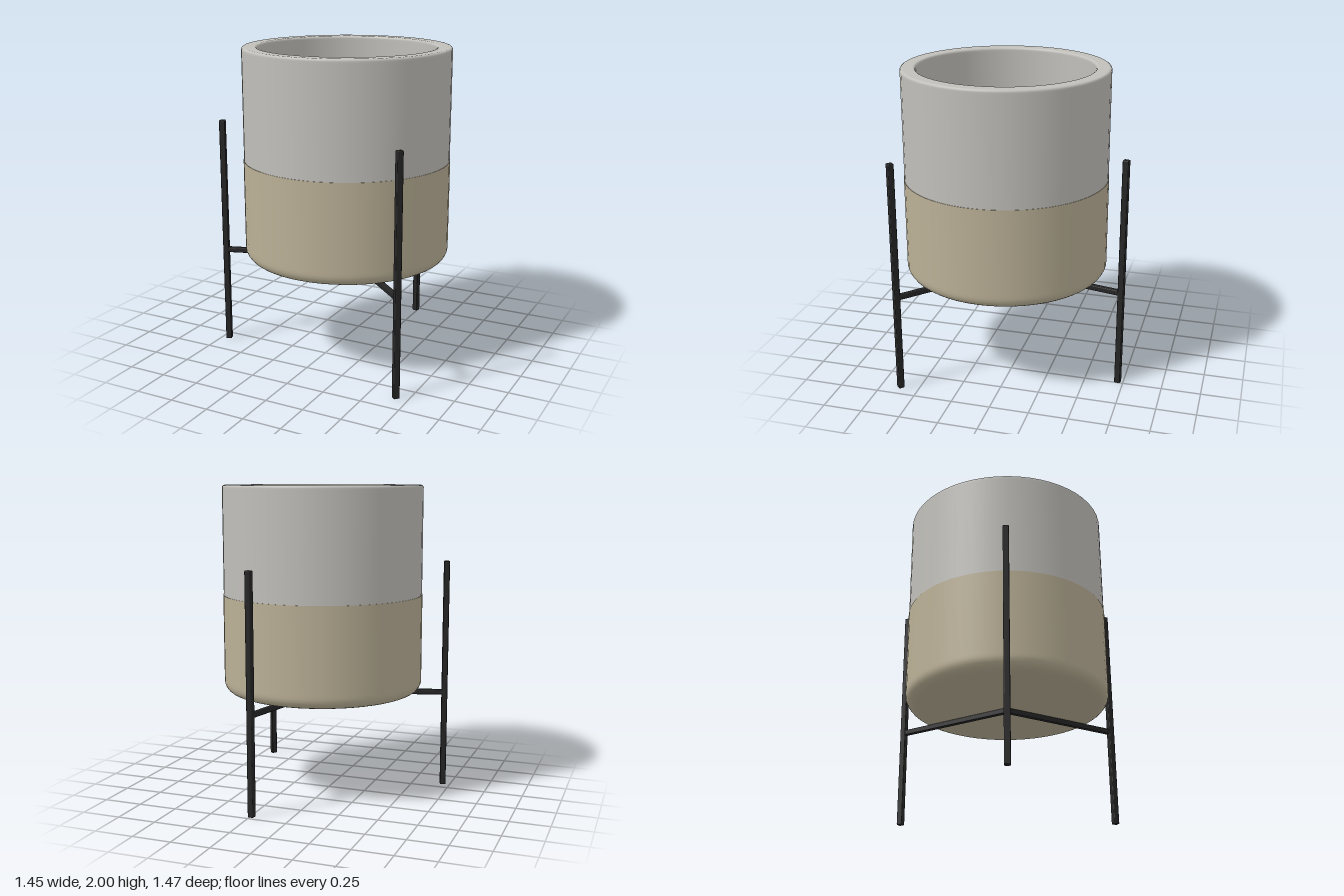
import * as THREE from 'three';
import { RoundedBoxGeometry } from 'three/addons/geometries/RoundedBoxGeometry.js';

const SEGMENTS = 56;
const CENTER = [0.07, 0.077]; // shared axis of pot and stand (x, z)

const material = (name, color) => {
  const m = new THREE.MeshStandardMaterial({ color });
  m.name = name;
  return m;
};

// Profile points of a quarter-turn rounded corner
function corner(cx, cy, r, from, to, steps = 6) {
  return Array.from({ length: steps + 1 }, (_, i) => {
    const a = THREE.MathUtils.degToRad(from + ((to - from) * i) / steps);
    return [cx + r * Math.cos(a), cy + r * Math.sin(a)];
  });
}

function lathe(name, points, mat) {
  const profile = points.map(([x, y]) => new THREE.Vector2(Math.max(x, 0), y));
  const mesh = new THREE.Mesh(new THREE.LatheGeometry(profile, SEGMENTS), mat);
  mesh.name = name;
  return mesh;
}

function bar(name, w, h, d, mat) {
  const mesh = new THREE.Mesh(new RoundedBoxGeometry(w, h, d, 2, 0.006), mat);
  mesh.name = name;
  return mesh;
}

export function createModel() {
  const gray = material('gray glaze', 0xc0bfba);
  const tan = material('tan clay', 0xbab096);
  const black = material('black metal', 0x262626);

  const model = new THREE.Group();
  model.name = 'planterOnStand';
  const assembly = new THREE.Group();
  assembly.name = 'planter';
  assembly.position.set(CENTER[0], 0, CENTER[1]);
  model.add(assembly);

  // Lower pot: flat underside, rounded foot and straight wall
  assembly.add(lathe('potBase', [
    [0, 0.655], [0.56, 0.655],
    ...corner(0.583, 0.725, 0.07, -90, 0),
    [0.653, 0.745], [0.653, 1.295],
  ], tan));
  assembly.add(lathe('baseLip', [[0.653, 1.295], [0.64, 1.295]], tan));

  // Upper pot: outer wall, thick rim, inner wall and floor
  assembly.add(lathe('potBody', [
    [0.65, 1.29], [0.65, 1.975],
    ...corner(0.635, 1.985, 0.015, 0, 90, 4),
    [0.625, 2], [0.58, 2],
    ...corner(0.57, 1.985, 0.015, 90, 180, 4),
    [0.555, 1.975], [0.555, 0.82],
    ...corner(0.505, 0.8, 0.05, 0, -90),
    [0.48, 0.75], [0, 0.75],
  ], gray));

  // Three-legged stand: each arm runs from the axis to an upright post
  const reach = 0.81;
  for (const [i, degrees] of [-78, 42, 162].entries()) {
    const side = new THREE.Group();
    side.name = `standSide${i + 1}`;
    side.rotation.y = -THREE.MathUtils.degToRad(degrees);

    const leg = bar('leg', 0.038, 1.51, 0.038, black);
    leg.position.set(reach, 0.755, 0);
    const arm = bar('supportArm', reach + 0.01, 0.034, 0.032, black);
    arm.position.set(reach / 2 - 0.005, 0.637, 0);

    side.add(leg, arm);
    assembly.add(side);
  }
  return model;
}
